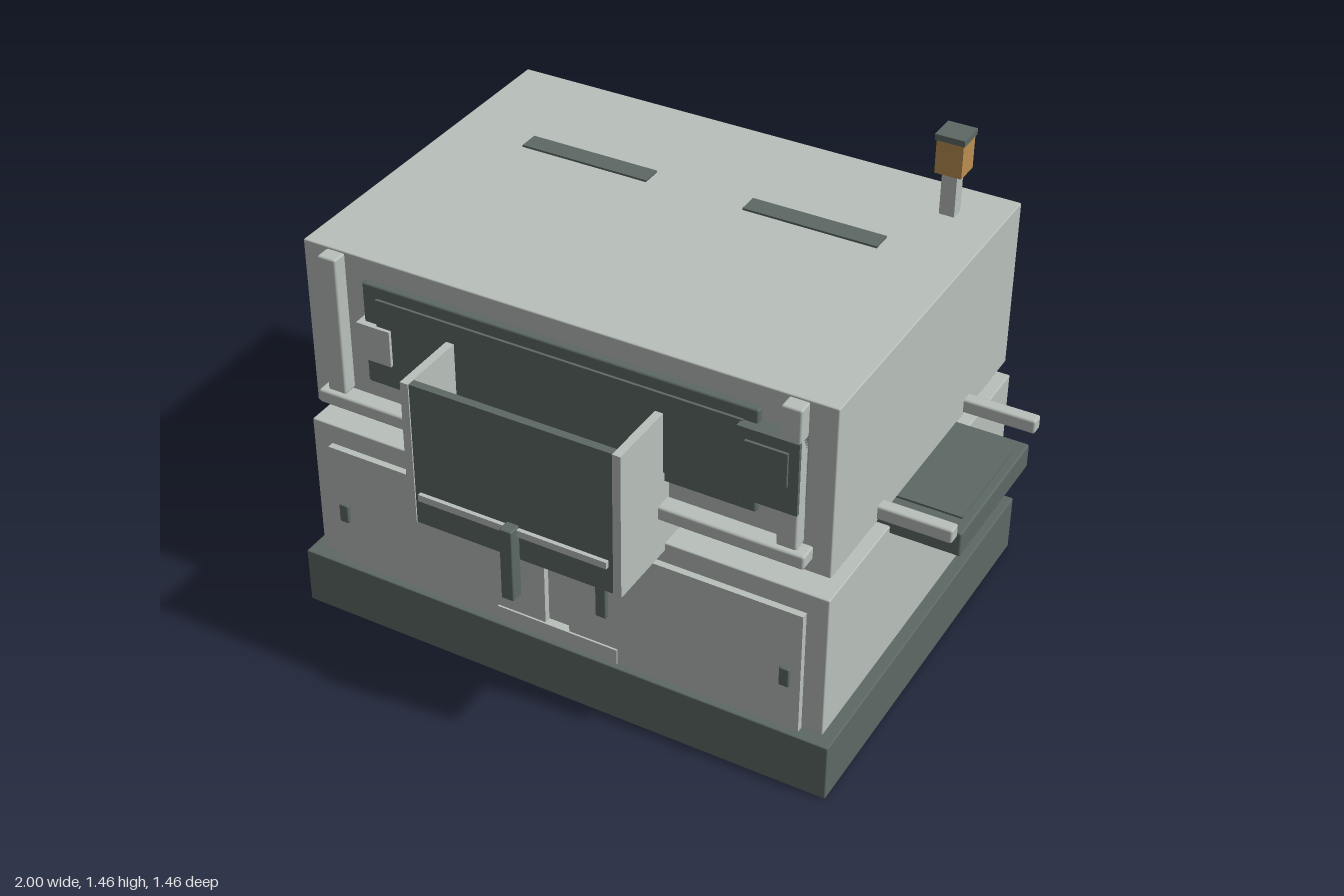
import * as THREE from 'three';
import { RoundedBoxGeometry } from 'three/addons/geometries/RoundedBoxGeometry.js';

export function createModel() {
  const group = new THREE.Group();
  group.name = 'industrialMachine';

  const mat = (name, color) => {
    const m = new THREE.MeshStandardMaterial({ color });
    m.name = name;
    return m;
  };
  const light = mat('light grey paint', 0xb9c0bb);
  const dark = mat('dark grey paint', 0x5d6966);
  const amber = mat('amber lamp', 0xba8e50);

  // Box from its min/max extents on each axis, with an optional small edge radius
  const box = (name, material, [x0, x1], [y0, y1], [z0, z1], radius = 0) => {
    const size = [x1 - x0, y1 - y0, z1 - z0];
    const geo = radius
      ? new RoundedBoxGeometry(...size, 1, radius)
      : new THREE.BoxGeometry(...size);
    const mesh = new THREE.Mesh(geo, material);
    mesh.name = name;
    mesh.position.set((x0 + x1) / 2, (y0 + y1) / 2, (z0 + z1) / 2);
    group.add(mesh);
    return mesh;
  };
  // The same box on both sides of x = 0
  const pair = (name, material, [x0, x1], y, z, radius) => {
    box(name + 'Left', material, [x0, x1], y, z, radius);
    box(name + 'Right', material, [-x1, -x0], y, z, radius);
  };

  // Plinth and the two main housings, separated by an open gap
  box('basePlinth', dark, [-0.835, 0.835], [0, 0.18], [-0.73, 0.51], 0.004);
  box('lowerCabinet', light, [-0.8, 0.8], [0.18, 0.635], [-0.69, 0.47], 0.004);
  box('upperHousing', light, [-0.79, 0.79], [0.69, 1.21], [-0.67, 0.45], 0.004);

  // Conveyor running through the gap, with a belt and guide rails
  box('conveyor', dark, [-1, 1], [0.61, 0.685], [-0.34, 0.115], 0.006);
  box('conveyorBelt', dark, [-0.975, 0.975], [0.683, 0.691], [-0.28, 0.055]);
  box('guideRailBack', light, [-1, 1], [0.697, 0.74], [-0.408, -0.368], 0.007);
  box('guideRailFront', light, [-1, 1], [0.697, 0.74], [0.142, 0.182], 0.007);

  // Cabinet doors, handles, latches and kick plate
  pair('cabinetDoor', light, [0.038, 0.738], [0.18, 0.572], [0.47, 0.49]);
  pair('doorHandle', dark, [0.13, 0.163], [0.335, 0.437], [0.488, 0.505], 0.004);
  pair('doorLatch', dark, [0.68, 0.71], [0.33, 0.39], [0.488, 0.502], 0.004);
  box('kickPlate', light, [-0.19, 0.19], [0.18, 0.23], [0.47, 0.496]);

  // Front frame of the upper housing
  pair('framePost', light, [0.655, 0.713], [0.78, 1.207], [0.45, 0.497], 0.006);
  box('frameRail', light, [-0.74, 0.74], [0.735, 0.777], [0.45, 0.507], 0.007);

  // Viewing window with a raised pane
  box('windowFrame', dark, [-0.59, 0.585], [0.837, 1.15], [0.45, 0.474], 0.006);
  box('windowPane', dark, [-0.545, 0.545], [0.872, 1.113], [0.47, 0.482]);
  box('windowHinge', light, [-0.605, -0.5], [0.92, 1.03], [0.45, 0.492]);
  box('controlBox', dark, [0.54, 0.713], [0.893, 1.11], [0.45, 0.502]);
  box('controlScreen', dark, [0.565, 0.685], [0.975, 1.077], [0.5, 0.51]);

  // Projecting hood: side walls, floor, front panel and pull handle
  pair('hoodSide', light, [0.3, 0.324], [0.612, 1.055], [0.375, 0.694]);
  box('hoodFloor', light, [-0.3, 0.3], [0.612, 0.634], [0.375, 0.668]);
  box('hoodFrontPanel', dark, [-0.305, 0.305], [0.613, 1.053], [0.666, 0.69]);
  box('hoodTrim', light, [-0.285, 0.285], [0.695, 0.716], [0.688, 0.702]);
  box('hoodHandle', dark, [-0.019, 0.019], [0.497, 0.724], [0.688, 0.728], 0.004);

  // Roof vents
  pair('roofVent', dark, [0.15, 0.55], [1.208, 1.216], [-0.322, -0.26]);

  // Signal lamp
  box('lampPost', light, [0.618, 0.662], [1.21, 1.34], [-0.548, -0.506]);
  box('lamp', amber, [0.602, 0.68], [1.34, 1.44], [-0.566, -0.49]);
  box('lampCap', dark, [0.598, 0.684], [1.44, 1.458], [-0.57, -0.486]);

  return group;
}
